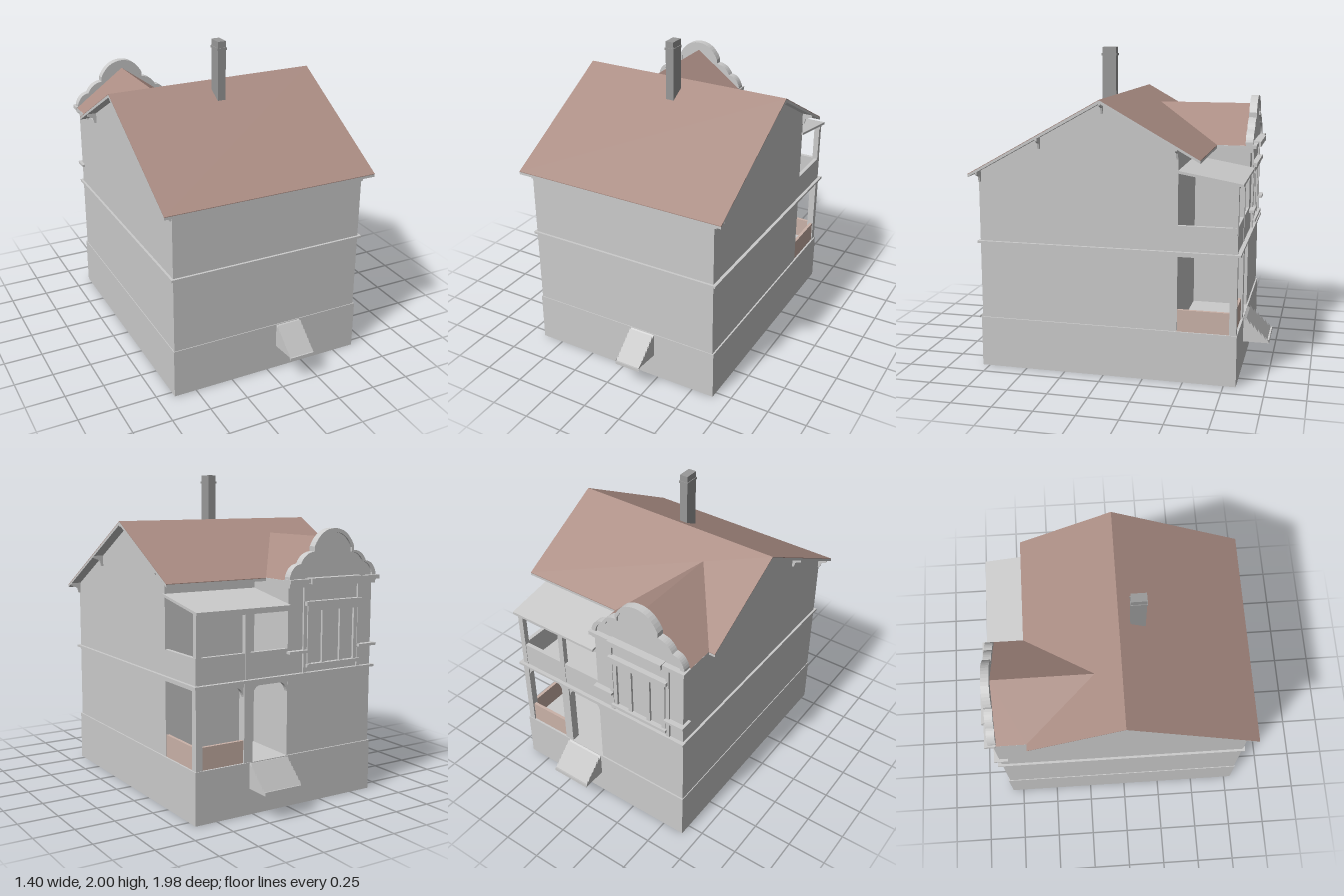
import * as THREE from 'three';

export function createModel() {
  const house = new THREE.Group();
  const mat = (name, color) => {
    const m = new THREE.MeshStandardMaterial({ color, side: THREE.DoubleSide });
    m.name = name;
    return m;
  };
  const plaster = mat('plaster grey', 0xcbcbcb);
  const tile = mat('roof tile', 0xaa8c83);
  const panel = mat('terracotta panel', 0xcab2a8);
  const brick = mat('chimney grey', 0x999999);

  const add = (name, geo, m = plaster) => {
    const mesh = new THREE.Mesh(geo, m);
    mesh.name = name;
    house.add(mesh);
    return mesh;
  };
  // box given by its limits
  const box = (name, x0, x1, y0, y1, z0, z1, m) => {
    const g = new THREE.BoxGeometry(x1 - x0, y1 - y0, z1 - z0);
    g.translate((x0 + x1) / 2, (y0 + y1) / 2, (z0 + z1) / 2);
    return add(name, g, m);
  };
  const shapeOf = pts => new THREE.Shape(pts.map(p => new THREE.Vector2(p[0], p[1])));
  // (x, y) outline extruded along z
  const alongZ = (name, shape, z0, z1, m) => {
    const g = new THREE.ExtrudeGeometry(shape, { depth: z1 - z0, bevelEnabled: false, curveSegments: 8 });
    g.translate(0, 0, z0);
    return add(name, g, m);
  };
  // (z, y) outline extruded along x
  const alongX = (name, pts, x0, x1, m) => {
    const g = new THREE.ExtrudeGeometry(shapeOf(pts.map(p => [-p[0], p[1]])), { depth: x1 - x0, bevelEnabled: false });
    g.rotateY(Math.PI / 2);
    g.translate(x0, 0, 0);
    return add(name, g, m);
  };
  const roofY = z => 1.715 - 0.56 * Math.abs(z);

  // plinth, hollow from below
  box('plinthFront', -0.645, 0.645, 0, 0.32, 0.785, 0.795);
  box('plinthBack', -0.645, 0.645, 0, 0.32, -0.825, -0.815);
  for (const s of [-1, 1]) {
    box('plinthSide', s * 0.64 - 0.005, s * 0.64 + 0.005, 0, 0.32, -0.815, 0.785);
  }
  box('groundFloor', -0.635, 0.635, 0.305, 0.319, -0.815, 0.785);

  // main body with gable ends, and the rear wing
  const d = 0.02;
  alongX('mainBody', [[0.79, 0.315], [0.79, roofY(0.79) - d], [0, 1.715 - d],
    [-0.46, roofY(0.46) - d], [-0.46, 0.315]], -0.64, 0.635);
  box('rearWing', -0.64, 0, 0.315, 1.37, -0.815, -0.455);
  box('beltCourse', -0.655, 0.655, 0.803, 0.818, -0.84, 0.805);

  // main roof: grey deck with a tiled skin
  for (const z of [0.835, -0.6]) {
    alongX('roofDeck', [[0, 1.711], [z, roofY(z) - 0.004], [z, roofY(z) - 0.02], [0, 1.692]], -0.705, 0.7);
    alongX('roofTiles', [[0, 1.715], [z, roofY(z)], [z, roofY(z) - 0.004], [0, 1.711]], -0.705, 0.7, tile);
  }

  // rear wing roof, running into the main slope
  const wingRoof = new THREE.BufferGeometry();
  const verts = [];
  for (const s of [-1, 1]) {
    const A = [-0.325, 1.625, -0.785], B = [-0.325, 1.625, -0.162];
    const C = [-0.327 + s * 0.338, 1.38, -0.6], D = [C[0], 1.38, -0.785];
    verts.push(...(s > 0 ? [A, B, C, A, C, D] : [A, C, B, A, D, C]).flat());
  }
  wingRoof.setAttribute('position', new THREE.Float32BufferAttribute(verts, 3));
  wingRoof.computeVertexNormals();
  add('wingRoof', wingRoof, tile);
  for (const x of [-0.66, 0]) box('wingEave', x - 0.005, x + 0.01, 1.36, 1.379, -0.8, -0.58);

  // gable brackets under the verges
  for (const z of [0.782, 0.395, 0, -0.455]) {
    const y = roofY(z) - 0.012;
    for (const s of [-1, 1]) {
      const w = s > 0 ? 0.632 : -0.637;
      alongZ('vergeBracket', shapeOf([[w, y], [s * 0.699, y], [s * 0.699, y - 0.022],
        [w + s * 0.025, y - 0.04], [w + s * 0.015, y - 0.075], [w, y - 0.075]]), z - 0.006, z + 0.006);
    }
  }

  // chimney
  box('chimney', -0.043, 0.011, 1.6, 2, 0.07, 0.163, brick);
  box('chimneyBand', -0.047, 0.015, 1.945, 1.96, 0.066, 0.167, brick);

  // curved gable parapet with raised coping
  const scrolled = k => {
    const s = new THREE.Shape();
    const X = v => -0.327 + v * k, Y = v => 1.37 + (v - 1.37) * k;
    s.moveTo(X(-0.33), 1.37);
    s.lineTo(X(-0.33), Y(1.4));
    s.quadraticCurveTo(X(-0.31), Y(1.47), X(-0.25), Y(1.475));
    s.quadraticCurveTo(X(-0.22), Y(1.54), X(-0.15), Y(1.545));
    s.lineTo(X(-0.15), Y(1.575));
    s.quadraticCurveTo(X(-0.1), Y(1.68), X(0), Y(1.68));
    s.quadraticCurveTo(X(0.1), Y(1.68), X(0.15), Y(1.575));
    s.lineTo(X(0.15), Y(1.545));
    s.quadraticCurveTo(X(0.22), Y(1.54), X(0.25), Y(1.475));
    s.quadraticCurveTo(X(0.31), Y(1.47), X(0.33), Y(1.4));
    s.lineTo(X(0.33), 1.37);
    return s;
  };
  alongZ('gableParapet', scrolled(0.97), -0.82, -0.785);
  const coping = scrolled(1);
  const inner = scrolled(0.91).getPoints(8).map(p => new THREE.Vector2(p.x, p.y + 0.004));
  coping.holes.push(new THREE.Path(inner));
  alongZ('parapetCoping', coping, -0.833, -0.783);

  // rear wing mouldings
  box('wingCornice', -0.67, 0.012, 1.36, 1.385, -0.855, -0.785);
  box('wingCorniceLower', -0.655, 0.005, 1.335, 1.36, -0.835, -0.79);
  box('corniceCentre', -0.52, -0.135, 1.355, 1.39, -0.87, -0.8);
  box('windowHead', -0.54, -0.115, 1.225, 1.25, -0.85, -0.81);
  box('windowLintel', -0.52, -0.135, 1.19, 1.225, -0.835, -0.81);
  box('windowSill', -0.53, -0.125, 0.85, 0.87, -0.845, -0.81);
  for (const x of [-0.505, -0.395, -0.26, -0.15]) box('windowPost', x - 0.013, x + 0.013, 0.87, 1.19, -0.83, -0.81);
  for (const x of [-0.535, -0.12]) box('windowPilaster', x - 0.012, x + 0.012, 0.818, 1.34, -0.828, -0.81);
  box('sillBand', -0.658, -0.523, 0.942, 0.958, -0.85, -0.76);
  box('sillBand', -0.132, 0.008, 0.942, 0.958, -0.85, -0.8);

  // ground porch: posts, beams, curved corner braces and low panels
  box('porchCornerPost', 0.595, 0.638, 0.315, 0.805, -0.82, -0.777);
  box('porchMiddlePost', 0.25, 0.31, 0.315, 0.805, -0.82, -0.765);
  box('porchBeamBack', 0, 0.638, 0.775, 0.805, -0.815, -0.78);
  box('porchBeamSide', 0.6, 0.636, 0.785, 0.805, -0.8, -0.46);
  for (const [x, s] of [[0, 1], [0.25, -1], [0.31, 1], [0.595, -1]]) {
    const b = new THREE.Shape();
    b.moveTo(x, 0.78);
    b.lineTo(x + s * 0.06, 0.78);
    b.quadraticCurveTo(x + s * 0.012, 0.77, x, 0.715);
    alongZ('porchBrace', b, -0.812, -0.785);
  }
  box('porchPanelBack', 0.31, 0.6, 0.319, 0.455, -0.81, -0.79, panel);
  box('porchPanelSide', 0.612, 0.632, 0.319, 0.455, -0.777, -0.46, panel);

  // balcony: parapet, posts and lean-to roof
  box('balconyParapetBack', 0, 0.635, 0.815, 0.975, -0.815, -0.79);
  box('balconyParapetSide', 0.61, 0.635, 0.815, 0.975, -0.79, -0.46);
  for (const x of [0.615, 0.285]) box('balconyPost', x - 0.018, x + 0.018, 0.815, 1.24, -0.818, -0.785);
  box('balconyBeam', 0, 0.635, 1.2, 1.23, -0.815, -0.788);
  alongX('balconyRoof', [[-0.45, 1.307], [-0.845, 1.238], [-0.845, 1.222], [-0.45, 1.291]], 0, 0.645);

  // entrance steps
  const steps = (name, x0, x1, z0, z1, n) => {
    const pts = [[z0, 0.16]];
    for (let i = 0; i < n; i++) {
      const y = 0.16 + (0.16 * (i + 1)) / n;
      pts.unshift([z0 + ((z1 - z0) * (n - i)) / n, y - 0.16 / n], [z0 + ((z1 - z0) * (n - i)) / n, y]);
    }
    pts.unshift([z0, 0.32]);
    alongX(name, pts, x0, x1);
  };
  steps('frontSteps', 0.06, 0.225, 0.79, 0.985, 8);
  steps('backSteps', 0.01, 0.275, -0.82, -0.99, 7);

  return house;
}
